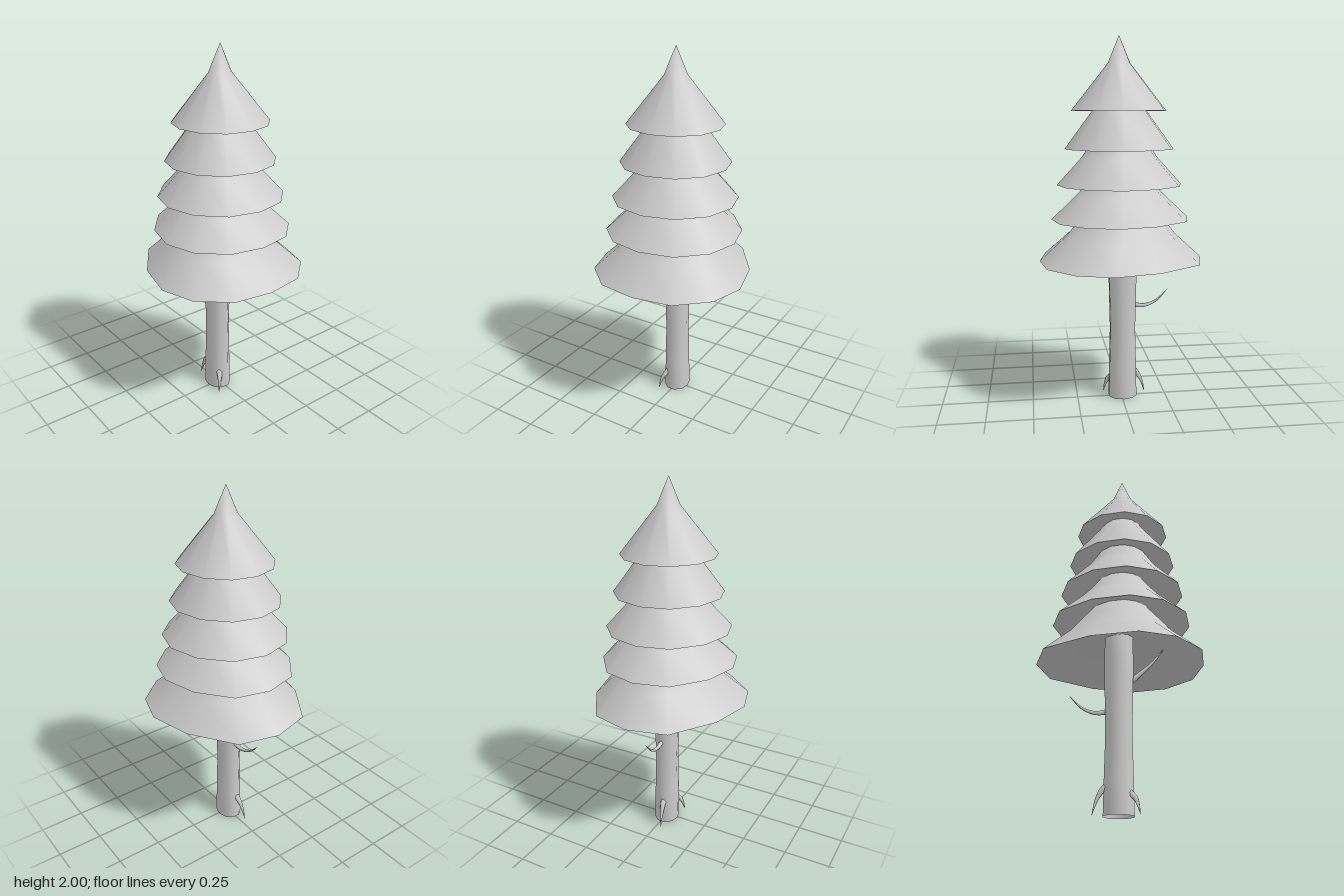
import * as THREE from 'three';
import { mergeVertices } from 'three/addons/utils/BufferGeometryUtils.js';

const SIDES = 12;
// Sideways shift of the rim corners, from the +x corner round to the -x corner
const SKEW = [0, 0.31, 0.58, 1, 0.82, -0.05, 0];

export function createModel() {
  const tree = new THREE.Group();
  tree.name = 'pineTree';
  const material = new THREE.MeshStandardMaterial({ color: 0xcccccc, side: THREE.DoubleSide });

  const add = (geometry, name) => {
    // Weld the seam so the shading runs smoothly all round
    geometry.deleteAttribute('uv');
    geometry.deleteAttribute('normal');
    const welded = mergeVertices(geometry, 1e-5);
    welded.computeVertexNormals();
    const mesh = new THREE.Mesh(welded, material);
    mesh.name = name;
    tree.add(mesh);
  };

  const lathe = (profile, sides) =>
    new THREE.LatheGeometry(profile.map(([r, y]) => new THREE.Vector2(r, y)), sides);

  // Twelve-sided cone surface with a slightly irregular rim
  const cone = (name, cx, skew, depth, profile) => {
    const geometry = lathe(profile, SIDES);
    const p = geometry.attributes.position;
    for (let i = 0; i < p.count; i++) {
      const corner = Math.floor(i / profile.length);
      const step = (corner + SIDES - 3) % SIDES;
      const weight = (profile[i % profile.length][0] / profile[0][0]) ** 2;
      p.setX(i, p.getX(i) + cx + skew * weight * SKEW[Math.min(step, SIDES - step)]);
      p.setZ(i, p.getZ(i) * depth);
    }
    add(geometry, name);
  };

  // Foliage skirts: a flared top surface and a shallow hollow underside
  const skirt = (name, cx, skew, depth, profile) => {
    const [r, y] = profile[0];
    cone(name, cx, skew, depth, profile);
    cone(name + 'Underside', cx, skew, depth, [[r, y], [0, y + 0.4 * r]]);
  };
  skirt('skirtBottom', 0, 0.085, 0.963, [[0.449, 0.797], [0.3, 0.935], [0.225, 1.03], [0, 1.3]]);
  skirt('skirtLower', 0.006, 0.039, 0.985, [[0.376, 1.026], [0.235, 1.16], [0.187, 1.215], [0, 1.46]]);
  skirt('skirtMiddle', 0.01, 0.016, 1, [[0.34, 1.212], [0.205, 1.36], [0.172, 1.41], [0, 1.68]]);
  skirt('skirtUpper', 0.01, 0.01, 1, [[0.296, 1.405], [0.148, 1.605], [0, 1.82]]);
  skirt('skirtTop', 0.012, 0.008, 1, [[0.258, 1.606], [0.06, 1.855], [0, 2]]);

  // Trunk: slightly waisted open column
  const trunk = lathe([[0.073, 0], [0.07, 0.18], [0.065, 0.4], [0.07, 0.65], [0.073, 0.8], [0.07, 1]], 10);
  trunk.scale(1.12, 1, 0.95);
  trunk.translate(-0.007, 0, 0.003);
  add(trunk, 'trunk');

  // Tapered curved limb ending in a point
  const limb = (name, radius, points) => {
    const curve = new THREE.CatmullRomCurve3(points.map((p) => new THREE.Vector3(...p)));
    const rings = 10, sides = 6;
    const geometry = new THREE.TubeGeometry(curve, rings, radius, sides);
    const p = geometry.attributes.position;
    const v = new THREE.Vector3();
    for (let i = 0; i < p.count; i++) {
      const t = Math.floor(i / (sides + 1)) / rings;
      const centre = curve.getPointAt(t);
      v.fromBufferAttribute(p, i).sub(centre).multiplyScalar(1 - 0.95 * t).add(centre);
      p.setXYZ(i, v.x, v.y, v.z);
    }
    add(geometry, name);
  };
  limb('rightBranch', 0.015, [[-0.06, 0.535, 0], [-0.13, 0.525, 0.005], [-0.2, 0.55, 0.01], [-0.265, 0.615, 0.01]]);
  limb('leftBranch', 0.017, [[0.05, 0.695, 0], [0.1, 0.74, 0], [0.17, 0.805, 0], [0.25, 0.91, 0]]);
  limb('rightRoot', 0.02, [[-0.065, 0.15, 0.012], [-0.1, 0.11, 0.02], [-0.122, 0.06, 0.025], [-0.138, 0.002, 0.03]]);
  limb('leftRoot', 0.02, [[0.045, 0.11, 0.03], [0.072, 0.085, 0.047], [0.086, 0.05, 0.06], [0.096, 0.002, 0.07]]);

  return tree;
}
